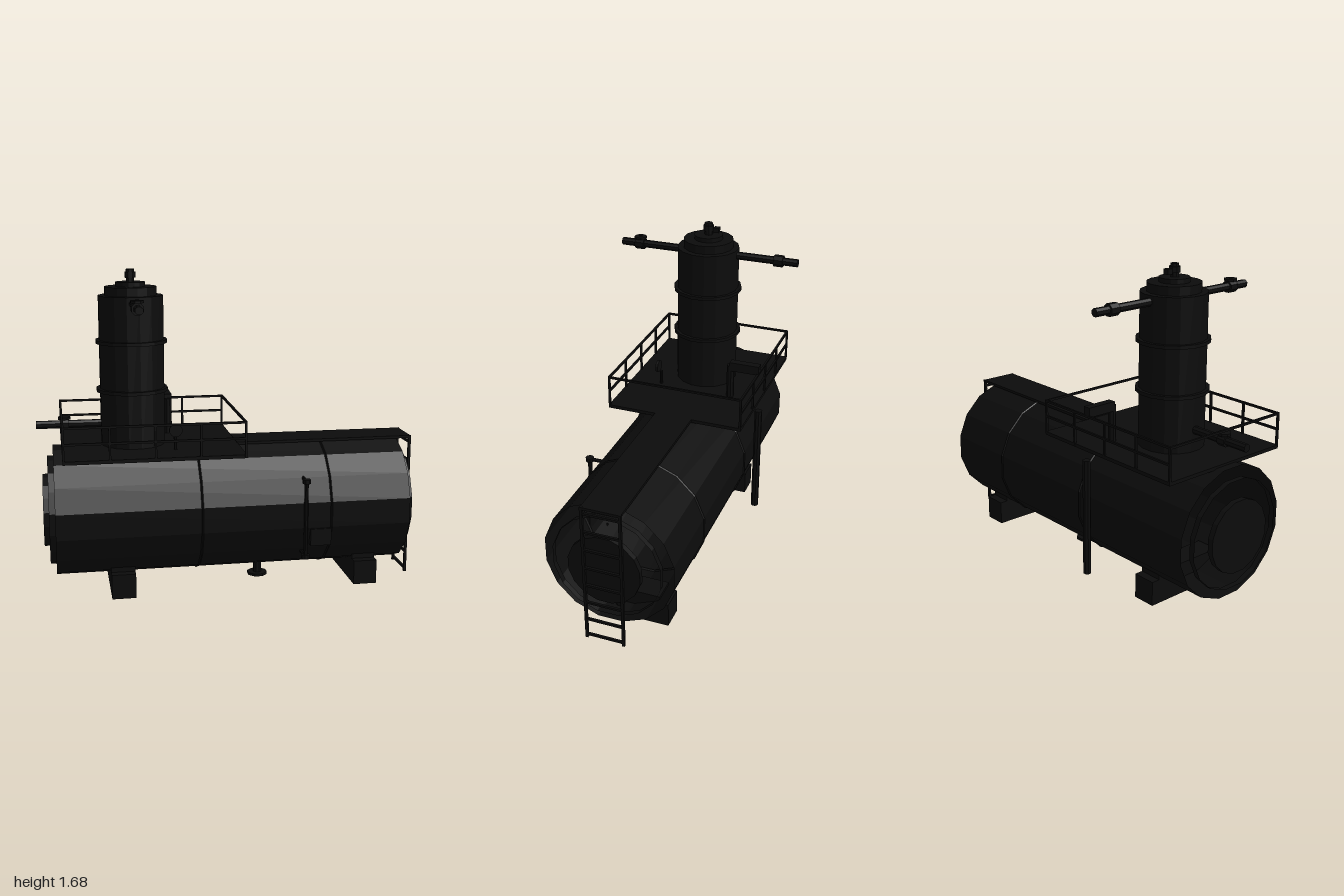
import * as THREE from 'three';

const metal = new THREE.MeshStandardMaterial({ color: 0x0c0c0c });
metal.name = 'black steel';
metal.side = THREE.DoubleSide;
metal.flatShading = true;

export function createModel() {
  const root = new THREE.Group();
  root.name = 'separatorTank';

  const add = (name, geo, x, y, z) => {
    const m = new THREE.Mesh(geo, metal);
    m.name = name;
    m.position.set(x, y, z);
    root.add(m);
    return m;
  };
  const box = (name, w, h, d, x, y, z) => add(name, new THREE.BoxGeometry(w, h, d), x, y, z);
  // Cylinder centred on a point, running along one axis
  const cyl = (name, axis, r, len, x, y, z, sides = 8, open = false) => {
    const g = new THREE.CylinderGeometry(r, r, len, sides, 1, open);
    g.rotateY(Math.PI / sides);
    if (axis === 'x') g.rotateZ(-Math.PI / 2);
    if (axis === 'z') g.rotateX(Math.PI / 2);
    return add(name, g, x, y, z);
  };

  // Horizontal vessel: open shells stepping down to a closed disc at each end
  const cy = 0.425;
  cyl('vesselShell', 'x', 0.342, 1.84, 0, cy, 0, 16, true);
  for (const s of [-1, 1]) {
    cyl('endStep', 'x', 0.285, 0.03, s * 0.935, cy, 0, 16, true);
    cyl('endDisc', 'x', 0.19, 0.03, s * 0.963, cy, 0, 16);
  }
  for (const x of [-0.18, 0.495]) {
    const g = new THREE.TorusGeometry(0.341, 0.007, 4, 16);
    g.rotateZ(Math.PI / 16).rotateY(Math.PI / 2);
    add('weldBand', g, x, cy, 0);
  }

  // Saddles
  for (const x of [-0.58, 0.712]) {
    box('saddleBase', 0.125, 0.13, 0.5, x, 0.065, 0);
    box('saddleTop', 0.125, 0.04, 0.41, x, 0.15, 0);
  }

  // Drains under the vessel
  cyl('drainPipe', 'y', 0.022, 0.1, 0.17, 0.055, 0);
  cyl('drainFlange', 'y', 0.055, 0.014, 0.17, 0.009, 0);
  cyl('smallDrain', 'y', 0.022, 0.08, 0.797, 0.07, 0);

  // Tower with stepped top
  const tx = -0.5;
  cyl('towerShell', 'y', 0.168, 0.83, tx, 1.13, 0, 16);
  cyl('towerStep', 'y', 0.135, 0.045, tx, 1.567, 0, 16);
  cyl('towerCap', 'y', 0.077, 0.025, tx, 1.6, 0, 16);
  for (const y of [1.06, 1.31]) cyl('towerBand', 'y', 0.186, 0.018, tx, y, 0, 16);
  cyl('topNozzle', 'y', 0.022, 0.07, tx, 1.642, 0);
  cyl('topFlange', 'y', 0.029, 0.03, tx, 1.648, 0);
  box('topValveHandle', 0.03, 0.027, 0.03, tx, 1.642, -0.045);

  // Pipes leaving the tower, with valves
  for (const s of [-1, 1]) {
    cyl('towerPipe', 'z', 0.021, 0.36, tx, 1.512, s * 0.32);
    cyl('valveBody', 'z', 0.032, 0.05, tx, 1.512, s * 0.395);
  }
  cyl('valveStem', 'y', 0.01, 0.05, tx, 1.53, 0.395);
  cyl('handwheel', 'y', 0.034, 0.012, tx, 1.546, 0.395);
  cyl('inletPipe', 'x', 0.021, 0.36, -0.82, 0.882, 0);
  cyl('inletValve', 'x', 0.03, 0.045, -0.855, 0.882, 0);
  cyl('inletStem', 'y', 0.01, 0.05, -0.855, 0.895, 0);
  cyl('inletHandwheel', 'y', 0.034, 0.012, -0.855, 0.915, 0);

  // Platform and railings
  const x0 = -0.87, x1 = 0.035, zr = 0.37;
  const mid = (x0 + x1) / 2, len = x1 - x0;
  box('platformDeck', len + 0.01, 0.018, 0.75, mid, 0.763, 0);
  for (const s of [-1, 1]) {
    for (let i = 0; i < 5; i++) {
      box('railPost', 0.011, 0.18, 0.011, x0 + (len * i) / 4, 0.85, s * zr);
    }
    box('topRail', len + 0.011, 0.011, 0.011, mid, 0.937, s * zr);
    box('middleRail', len, 0.011, 0.011, mid, 0.855, s * zr);
  }
  for (const x of [x0, x1]) box('endRail', 0.011, 0.011, zr * 2, x, 0.937, 0);

  // Walkway and ladder at the end
  box('walkway', 0.955, 0.014, 0.205, 0.515, 0.768, 0);
  for (const s of [-1, 1]) box('ladderRail', 0.014, 0.775, 0.014, 0.988, 0.388, s * 0.098);
  for (let i = 0; i < 7; i++) box('ladderRung', 0.012, 0.012, 0.2, 0.988, 0.115 + i * 0.104, 0);
  box('ladderRung', 0.012, 0.012, 0.2, 0.988, 0.02, 0);

  // Vent gooseneck and separate downpipe at the back
  cyl('ventRiser', 'y', 0.021, 0.245, -0.29, 0.84, -0.21);
  box('ventOutlet', 0.042, 0.05, 0.165, -0.29, 0.96, -0.292);
  cyl('downpipe', 'y', 0.021, 0.62, -0.29, 0.4, -0.377);

  // Pressure gauge on the platform
  cyl('gaugeStem', 'y', 0.009, 0.1, -0.3, 0.8, 0.2);
  cyl('gaugeDial', 'z', 0.034, 0.014, -0.3, 0.875, 0.217, 12);

  // Level gauge and junction plate on the front
  cyl('levelGauge', 'y', 0.011, 0.42, 0.355, 0.41, 0.35);
  for (const y of [0.21, 0.612]) {
    cyl('levelFlange', 'y', 0.022, 0.022, 0.355, y, 0.35);
    cyl('levelConnector', 'z', 0.01, 0.09, 0.355, y, 0.305);
  }
  box('junctionPlate', 0.11, 0.09, 0.04, 0.44, 0.305, 0.318);

  return root;
}
